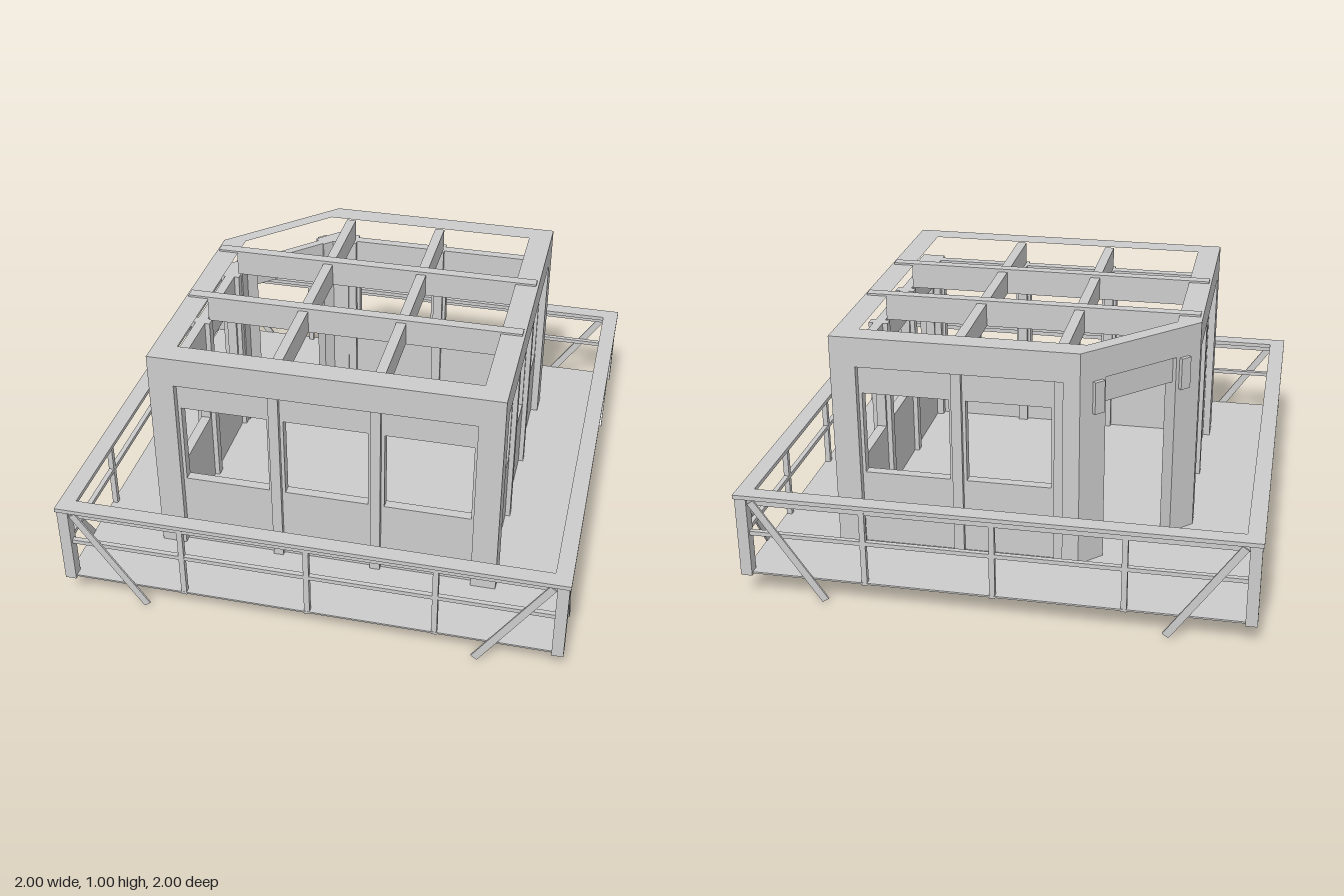
import * as THREE from 'three';

const gray = new THREE.MeshStandardMaterial({ color: 0xcccccc });
gray.name = 'plain gray';

function add(parent, name, geometry) {
  const mesh = new THREE.Mesh(geometry, gray);
  mesh.name = name;
  parent.add(mesh);
  return mesh;
}

// Box given by its minimum and maximum on each axis
function box(parent, name, x0, x1, y0, y1, z0, z1) {
  const g = new THREE.BoxGeometry(x1 - x0, y1 - y0, z1 - z0);
  g.translate((x0 + x1) / 2, (y0 + y1) / 2, (z0 + z1) / 2);
  return add(parent, name, g);
}

const toPoints = (list) => list.map(([a, b]) => new THREE.Vector2(a, b));

// Upright prism from a plan outline of [x, z] points
function prism(parent, name, outline, y0, y1, hole) {
  const shape = new THREE.Shape(toPoints(outline));
  if (hole) shape.holes.push(new THREE.Path(toPoints(hole)));
  const g = new THREE.ExtrudeGeometry(shape, { depth: y1 - y0, bevelEnabled: false });
  g.rotateX(Math.PI / 2);
  g.translate(0, y1, 0);
  return add(parent, name, g);
}

const rect = (x0, y0, x1, y1) => [[x0, y0], [x1, y0], [x1, y1], [x0, y1]];
const FLOOR = 0.11, BEAM = 0.88, TOP = 1.0;

// One side of the railing, facing +z
function railingSide() {
  const side = new THREE.Group();
  side.name = 'railingSide';
  box(side, 'cornerPost', 0.95, 0.995, 0.1, 0.435, 0.95, 0.995);
  box(side, 'upperRail', -0.95, 0.95, 0.405, 0.43, 0.963, 0.983);
  box(side, 'middleRail', -0.95, 0.95, 0.273, 0.29, 0.963, 0.983);
  for (const x of [-0.5, 0, 0.5]) box(side, 'railPost', x - 0.011, x + 0.011, 0.1, 0.435, 0.962, 0.984);
  // Flat diagonal braces reaching below the deck
  for (const s of [-1, 1]) {
    const dx = 0.277, dy = 0.4;
    const brace = add(side, 'brace', new THREE.BoxGeometry(0.03, Math.hypot(dx, dy), 0.008));
    brace.position.set(s * 0.797, 0.219, 0.986);
    brace.rotation.z = -s * Math.atan2(dx, dy);
  }
  return side;
}

// One house wall facing +z: window panels and mullions for the given bays
function wall(bays, mullions) {
  const group = new THREE.Group();
  group.name = 'wall';
  const spans = { '-1': [-0.59, -0.22], 0: [-0.18, 0.18], 1: [0.22, 0.59] };
  for (const b of bays) {
    const [a, c] = spans[b];
    const shape = new THREE.Shape(toPoints(rect(a, FLOOR, c, BEAM)));
    shape.holes.push(new THREE.Path(toPoints(rect(a + 0.013, 0.42, c - 0.013, 0.76))));
    const g = new THREE.ExtrudeGeometry(shape, { depth: 0.04, bevelEnabled: false });
    g.translate(0, 0, 0.62);
    add(group, 'windowPanel', g);
  }
  for (const x of mullions) box(group, 'mullion', x - 0.02, x + 0.02, FLOOR, BEAM, 0.6, 0.68);
  return group;
}

export function createModel() {
  const model = new THREE.Group();
  model.name = 'lookoutCabin';

  // Deck and railing
  box(model, 'deck', -0.985, 0.985, 0.105, 0.112, -0.985, 0.985);
  prism(model, 'handrail', rect(-1, -1, 1, 1), 0.433, 0.45, rect(-0.935, -0.935, 0.935, 0.935));
  for (let i = 0; i < 4; i++) {
    const side = railingSide();
    side.rotation.y = i * Math.PI / 2;
    model.add(side);
  }

  // Walls; the back and left ones stop short at the cut corner
  const walls = [
    [0, [-1, 0, 1], [-0.2, 0.2]],
    [Math.PI / 2, [-1, 0, 1], [-0.2, 0.2]],
    [Math.PI, [-1, 0], [-0.2, 0.2]],
    [-Math.PI / 2, [0, 1], [-0.2, 0.2]],
  ];
  for (const [angle, bays, mullions] of walls) {
    const w = wall(bays, mullions);
    w.rotation.y = angle;
    model.add(w);
  }
  for (const [sx, sz] of [[1, 1], [-1, 1], [1, -1]]) {
    const post = add(model, 'cornerColumn', new THREE.BoxGeometry(0.1, BEAM - FLOOR, 0.1));
    post.position.set(sx * 0.64, (BEAM + FLOOR) / 2, sz * 0.64);
  }

  // Door jambs on the cut corner, mirrored across the diagonal
  const jamb = [[-0.28, -0.69], [-0.365, -0.605], [-0.32, -0.56], [-0.285, -0.595], [-0.215, -0.595], [-0.215, -0.69]];
  prism(model, 'doorJamb', jamb, FLOOR, BEAM);
  prism(model, 'doorJamb', jamb.map(([x, z]) => [z, x]), FLOOR, BEAM);

  // Door header and the two small outer blocks, built facing the diagonal
  const door = new THREE.Group();
  door.name = 'doorway';
  door.rotation.y = -Math.PI * 3 / 4;
  box(door, 'doorHeader', -0.18, 0.18, 0.77, BEAM, 0.63, 0.665);
  for (const s of [-1, 1]) {
    const block = add(door, 'doorBlock', new THREE.BoxGeometry(0.045, 0.13, 0.03));
    block.position.set(s * 0.208, 0.81, 0.687);
  }
  model.add(door);

  // Roof ring and joists
  prism(model, 'roofRing',
    [[-0.69, 0.69], [0.69, 0.69], [0.69, -0.69], [-0.28, -0.69], [-0.69, -0.28]], BEAM, TOP,
    [[-0.597, 0.595], [0.595, 0.595], [0.595, -0.597], [-0.29, -0.597], [-0.597, -0.29]]);
  for (const s of [-0.2, 0.2]) {
    // Long beams: deep between the walls, a thin cap over the ring
    box(model, 'roofBeam', -0.6, 0.6, 0.9, 1.002, s - 0.022, s + 0.022);
    box(model, 'roofBeamCap', -0.68, 0.68, 0.995, 1.008, s - 0.022, s + 0.022);
    box(model, 'roofJoist', s - 0.02, s + 0.02, 0.9, 0.995, -0.6, 0.6);
  }
  return model;
}
